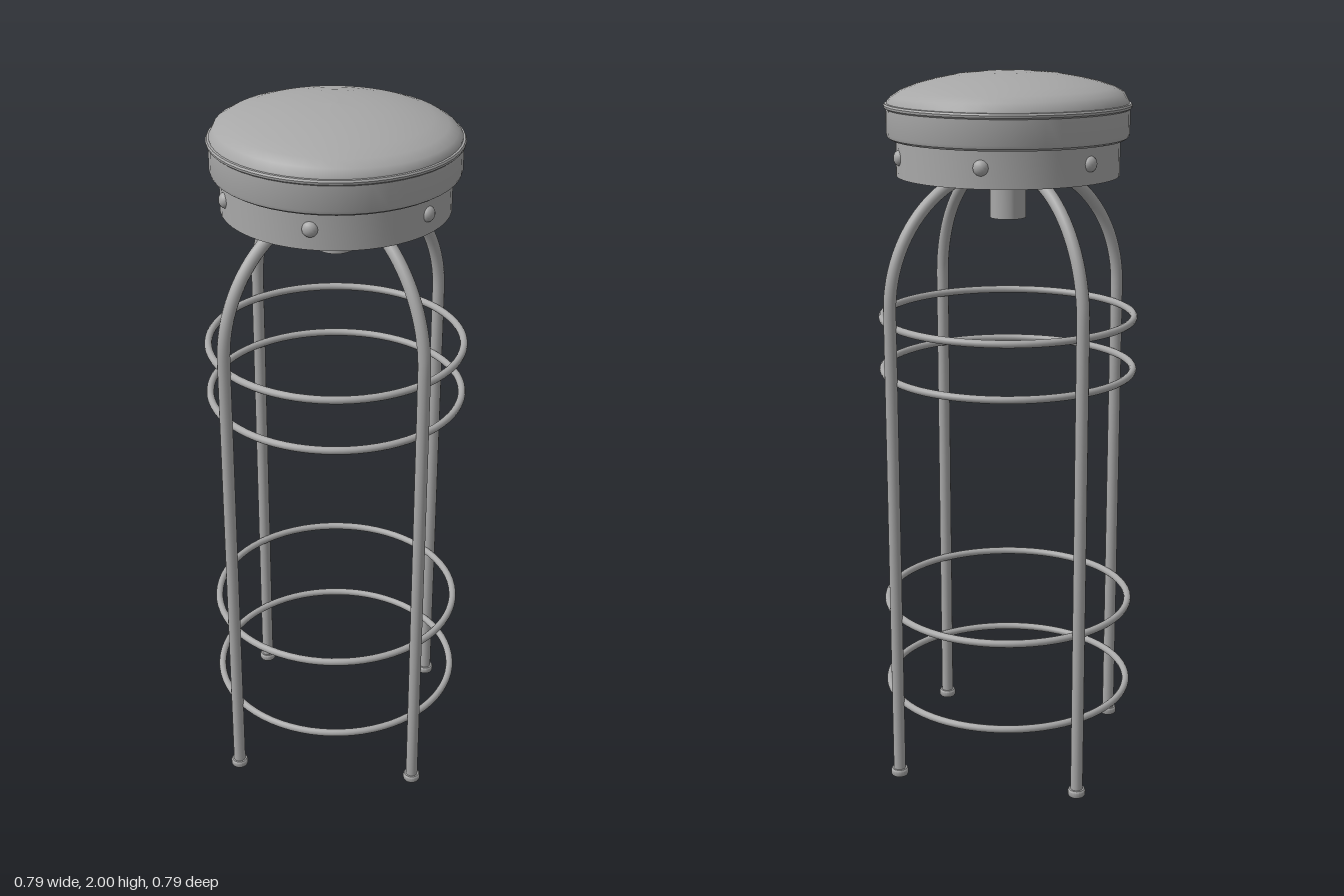
import * as THREE from 'three';
import { toCreasedNormals } from 'three/addons/utils/BufferGeometryUtils.js';

export function createModel() {
  const group = new THREE.Group();
  const metal = new THREE.MeshStandardMaterial({ color: 0xa8a8a8 });
  metal.name = 'plain grey';

  const add = (name, geometry, parent = group) => {
    const mesh = new THREE.Mesh(geometry, metal);
    mesh.name = name;
    parent.add(mesh);
    return mesh;
  };
  const lathe = (points, segments = 48) =>
    new THREE.LatheGeometry(points.map(([r, y]) => new THREE.Vector2(r, y)), segments);
  const crease = (geometry) => toCreasedNormals(geometry, 0.6);

  // Upholstered side of the cushion, with a rolled seam on top
  add('cushionSide', crease(lathe([
    [0, 1.82], [0.318, 1.82], [0.327, 1.826], [0.33, 1.835], [0.33, 1.9],
    [0.335, 1.904], [0.336, 1.91], [0.333, 1.915], [0.324, 1.916],
  ])));

  // Domed cushion top, softly uneven
  const dome = lathe([
    [0.328, 1.908], [0.327, 1.92], [0.315, 1.938], [0.29, 1.953], [0.25, 1.967],
    [0.2, 1.979], [0.14, 1.99], [0.07, 1.996], [0, 1.998],
  ]);
  const p = dome.attributes.position;
  for (let i = 0; i < p.count; i++) {
    const x = p.getX(i), z = p.getZ(i);
    const r = Math.hypot(x, z) / 0.328;
    p.setY(i, p.getY(i) + 0.03 * (1 - r * r) * (z * 0.1 - x * 0.3) - 0.012 * r * r * (x + z) * (r < 0.99 ? 1 : 0));
  }
  add('cushionTop', dome);

  // Hollow band beneath the cushion
  add('seatBand', crease(lathe([
    [0.305, 1.722], [0.305, 1.822], [0.297, 1.822], [0.297, 1.722], [0.305, 1.722],
  ])));

  // Rivets around the band
  for (const degrees of [12, 75, 135, 193, 252, 310]) {
    const a = THREE.MathUtils.degToRad(degrees);
    const rivet = add('rivet', new THREE.SphereGeometry(0.021, 16, 12));
    rivet.position.set(0.302 * Math.sin(a), 1.776, 0.302 * Math.cos(a));
    rivet.rotation.y = a;
    rivet.scale.z = 0.8;
  }

  // Central tube, open at its lower end
  add('centralPost', crease(lathe([
    [0, 1.64], [0.04, 1.64], [0.04, 1.605], [0.05, 1.605], [0.05, 1.82], [0, 1.82],
  ], 32)));

  // Legs rise straight and arch in to the central tube
  const path = new THREE.CurvePath();
  path.add(new THREE.LineCurve3(new THREE.Vector3(0.372, 0.01, 0), new THREE.Vector3(0.372, 1.38, 0)));
  const arch = [];
  for (let i = 0; i <= 16; i++) {
    const a = (i / 16) * Math.PI / 2;
    arch.push(new THREE.Vector3(0.045 + 0.327 * Math.cos(a), 1.38 + 0.36 * Math.sin(a), 0));
  }
  path.add(new THREE.CatmullRomCurve3(arch));
  const legGeometry = new THREE.TubeGeometry(path, 80, 0.0175, 14, false);
  const footGeometry = crease(lathe([
    [0, 0], [0.023, 0], [0.025, 0.004], [0.025, 0.016], [0.022, 0.021], [0, 0.021],
  ], 20));
  for (let i = 0; i < 4; i++) {
    const leg = new THREE.Group();
    leg.name = 'leg';
    leg.rotation.y = i * Math.PI / 2;
    add('legTube', legGeometry, leg);
    add('foot', footGeometry, leg).position.x = 0.372;
    group.add(leg);
  }

  // Bracing hoops just inside the legs
  const hoopGeometry = new THREE.TorusGeometry(0.352, 0.0105, 12, 72);
  for (const y of [0.225, 0.485, 1.18, 1.33]) {
    const hoop = add('hoop', hoopGeometry);
    hoop.rotation.x = Math.PI / 2;
    hoop.position.y = y;
  }

  return group;
}
